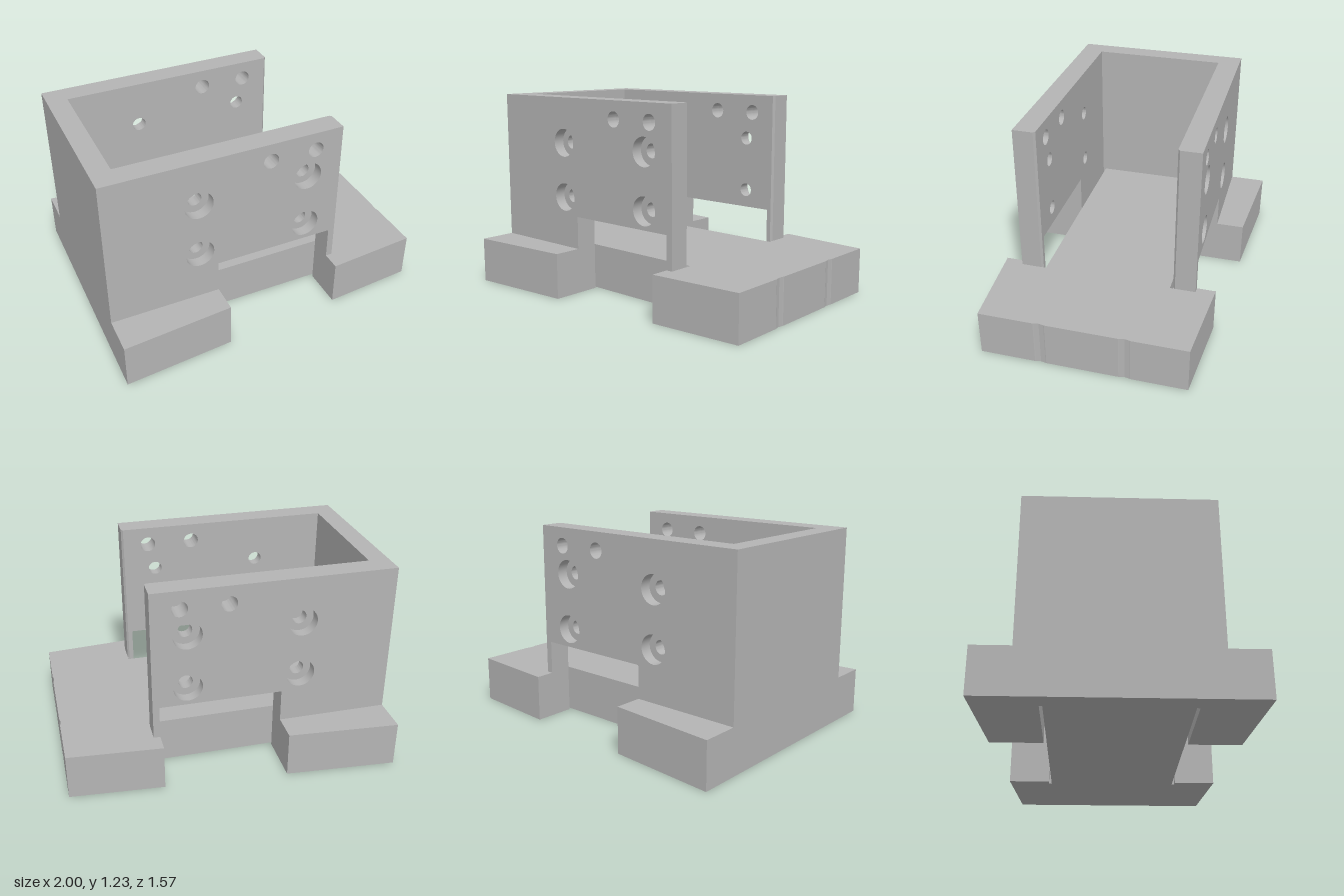
import * as THREE from 'three';
import { toCreasedNormals } from 'three/addons/utils/BufferGeometryUtils.js';

const BASE_TOP = 0.285, TOP = 1.23, END = 0.47, BEVEL = 0.012;

const shapeOf = (points) => new THREE.Shape(points.map(([x, y]) => new THREE.Vector2(x, y)));

function extrude(shape, depth) {
  return new THREE.ExtrudeGeometry(shape, { depth, bevelEnabled: false, curveSegments: 20 });
}

// Side wall outline with the open notch below, pierced by two plain and four screw holes
function wallShape(screwRadius) {
  const shape = shapeOf([
    [-1, BASE_TOP], [-0.32, BASE_TOP], [-0.32, 0.49], [0.43, 0.49],
    [0.43, BASE_TOP], [END, BASE_TOP], [END, TOP], [-1, TOP],
  ]);
  const hole = (x, y, r) => shape.holes.push(new THREE.Path().absarc(x, y, r, 0, Math.PI * 2, true));
  for (const x of [0.011, 0.298]) hole(x, 1.118, 0.048);
  for (const x of [-0.434, 0.255]) for (const y of [0.603, 0.947]) hole(x, y, screwRadius);
  return shape;
}

export function createModel() {
  const model = new THREE.Group();
  model.name = 'mountingBracket';
  const grey = new THREE.MeshStandardMaterial({ color: 0xb4b4b4 });
  grey.name = 'plain grey';

  const add = (name, geometry, parent = model) => {
    const mesh = new THREE.Mesh(geometry, grey);
    mesh.name = name;
    parent.add(mesh);
    return mesh;
  };

  // Base plate: tapered wings, side notches, narrow slits and two shallow end grooves
  const half = [
    [0.998, 0.225], [0.993, 0.255], [0.998, 0.285],
    [1, 0.29], [1, 0.63], [0.43, 0.675], [0.43, 0.418], [END, 0.418], [END, 0.4],
    [-0.875, 0.4], [-0.875, 0.418], [-0.32, 0.418], [-0.32, 0.733], [-1, 0.787],
  ];
  half.unshift([1, 0.22]);
  const mirrored = half.map(([x, z]) => [x, -z]).reverse();
  const base = extrude(shapeOf([...half, ...mirrored]), BASE_TOP);
  base.rotateX(-Math.PI / 2);
  add('basePlate', base);

  // Closed end wall
  const endWall = new THREE.BoxGeometry(0.125, TOP - BASE_TOP, 0.836);
  endWall.translate(-0.9375, (TOP + BASE_TOP) / 2, 0);
  add('endWall', endWall);

  // Side walls in layers: bevelled inner skin, core, and outer counterbored plate
  const layers = [
    ['innerSkin', 0.418, 0.418 + BEVEL, 0.043],
    ['wallCore', 0.418 + BEVEL, 0.488, 0.043],
    ['counterboredPlate', 0.488, 0.558, 0.088],
  ];
  for (const side of [1, -1]) {
    const wall = new THREE.Group();
    wall.name = side > 0 ? 'frontWall' : 'backWall';
    model.add(wall);
    for (const [name, inner, outer, radius] of layers) {
      const geometry = extrude(wallShape(radius), outer - inner);
      geometry.translate(0, 0, side > 0 ? inner : -outer);
      if (name === 'innerSkin') {
        // Pull back the inner corner of the free end
        const p = geometry.attributes.position;
        for (let i = 0; i < p.count; i++) {
          if (p.getX(i) > END - 0.001 && Math.abs(p.getZ(i)) < inner + 0.001) p.setX(i, END - BEVEL);
        }
      }
      add(name, toCreasedNormals(geometry, 0.5), wall);
    }
  }
  return model;
}
